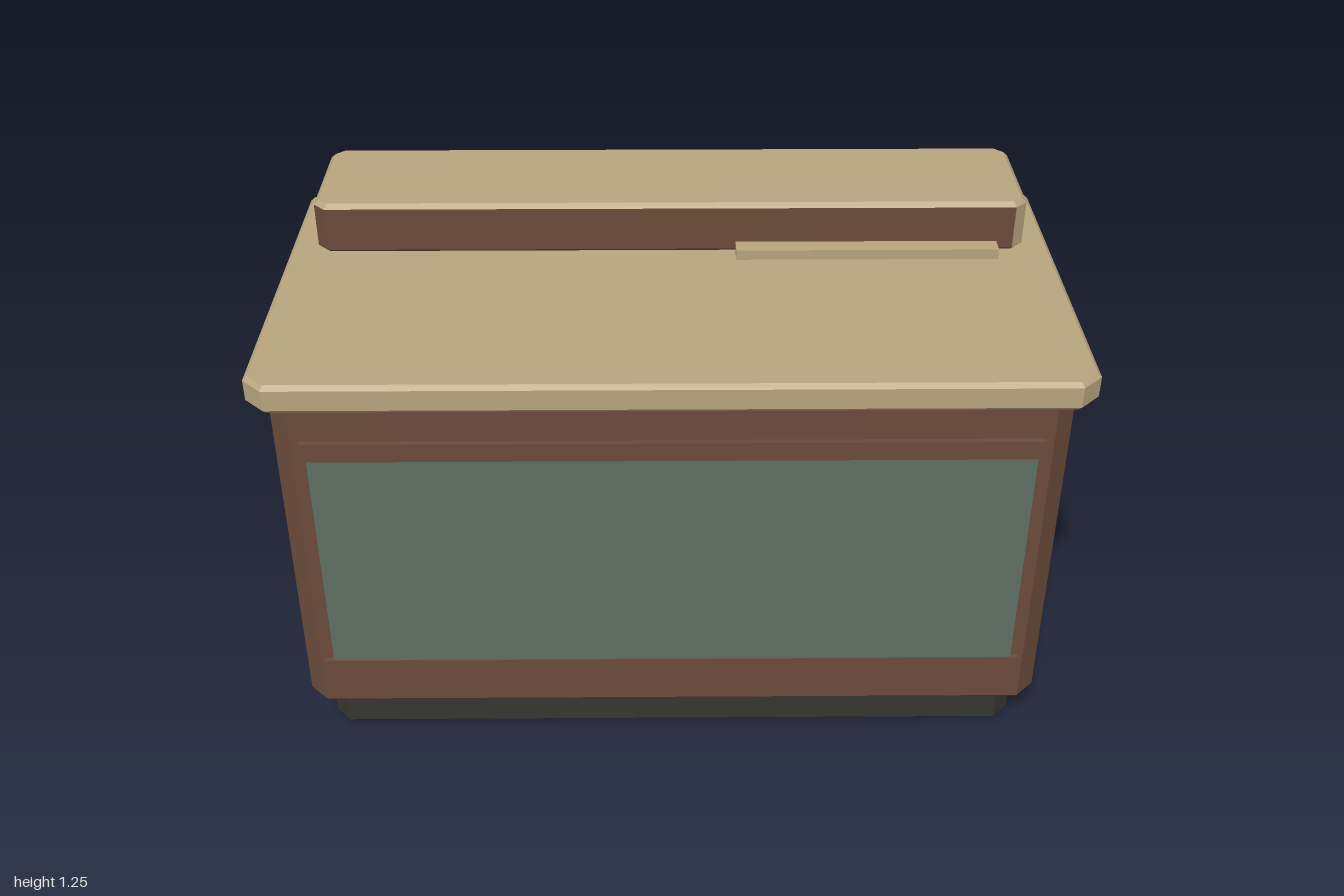
import * as THREE from 'three';

const mat = (name, color) => new THREE.MeshStandardMaterial({ name, color });

// Octagonal outline: a rectangle with cut corners, starting at the +x+z cut,
// going round from +x towards +z. Even edges are straight sides, odd edges are cuts.
function outline(hx, hz, c) {
  return [
    [hx, -hz + c], [hx, hz - c], [hx - c, hz], [-hx + c, hz],
    [-hx, hz - c], [-hx, -hz + c], [-hx + c, -hz], [hx - c, -hz],
  ];
}

// Slab with cut vertical corners and bevelled top / bottom edges.
// pick(part, edge) returns the material index for 'top', 'bottom', 'bevelTop', 'bevelBottom' or 'side'.
function chamferedSlab({ hx, hz, y0, y1, cut, bevelTop = 0, bevelBottom = 0, pick = () => 0 }) {
  const ring = (inset, y) => outline(hx - inset, hz - inset, cut - inset * 0.586)
    .map(([x, z]) => new THREE.Vector3(x, y, z));
  const rings = [], parts = [];
  if (bevelBottom) { rings.push(ring(bevelBottom, y0)); parts.push('bevelBottom'); }
  rings.push(ring(0, y0 + bevelBottom), ring(0, y1 - bevelTop));
  parts.push('side');
  if (bevelTop) { rings.push(ring(bevelTop, y1)); parts.push('bevelTop'); }

  const positions = [];
  const geometry = new THREE.BufferGeometry();
  const add = (index, ...points) => {
    geometry.addGroup(positions.length / 3, points.length, index);
    points.forEach((p) => positions.push(p.x, p.y, p.z));
  };
  parts.forEach((part, r) => {
    for (let i = 0; i < 8; i++) {
      const j = (i + 1) % 8;
      const a = rings[r][i], b = rings[r][j], c = rings[r + 1][j], d = rings[r + 1][i];
      add(pick(part, i), a, c, b, a, d, c);
    }
  });
  const low = rings[0], high = rings[rings.length - 1];
  for (let i = 1; i < 7; i++) {
    add(pick('bottom', 0), low[0], low[i], low[i + 1]);
    add(pick('top', 0), high[0], high[i + 1], high[i]);
  }
  geometry.setAttribute('position', new THREE.Float32BufferAttribute(positions, 3));
  geometry.computeVertexNormals();
  return geometry;
}

export function createModel() {
  const brown = mat('brown wood', 0x6b4b3b);
  const tan = mat('tan worktop', 0xb8a47e);
  const dark = mat('dark plinth', 0x35362f);
  const glass = mat('green glass', 0x5f6e62);
  const model = new THREE.Group();
  model.name = 'counter';

  const add = (name, geometry, material, x = 0, y = 0, z = 0) => {
    const mesh = new THREE.Mesh(geometry, material);
    mesh.name = name;
    mesh.position.set(x, y, z);
    model.add(mesh);
    return mesh;
  };
  const box = (name, material, x0, x1, y0, y1, z0, z1) => add(name,
    new THREE.BoxGeometry(x1 - x0, y1 - y0, z1 - z0), material,
    (x0 + x1) / 2, (y0 + y1) / 2, (z0 + z1) / 2);

  // Plinth, cabinet and worktop
  add('plinth', chamferedSlab({ hx: 0.907, hz: 0.446, y0: 0, y1: 0.112, cut: 0.041, bevelBottom: 0.012 }), [dark]);
  add('cabinet', chamferedSlab({ hx: 0.957, hz: 0.489, y0: 0.11, y1: 1.045, cut: 0.048, bevelBottom: 0.016 }), [brown]);
  add('worktop', chamferedSlab({
    hx: 1, hz: 0.528, y0: 1.04, y1: 1.115, cut: 0.05, bevelTop: 0.011, bevelBottom: 0.011,
  }), [tan]);

  // Rear riser: brown sides, tan lid, two opposite corner cuts in tan
  add('riser', chamferedSlab({
    hx: 0.927, hz: 0.178, y0: 1.114, y1: 1.25, cut: 0.031, bevelTop: 0.012, bevelBottom: 0.008,
    pick: (part, edge) => {
      if (part === 'top' || part === 'bevelTop') return 1;
      return part === 'side' && (edge === 1 || edge === 5) ? 1 : 0;
    },
  }), [brown, tan], 0, 0, -0.321);

  // Low ledge in front of the riser
  box('ledge', tan, 0.17, 0.853, 1.11, 1.142, -0.16, -0.093);

  // Front window: brown backing, glass plate and two rails
  box('windowFrame', brown, -0.874, 0.874, 0.25, 0.92, 0.48, 0.498);
  box('windowGlass', glass, -0.874, 0.874, 0.268, 0.892, 0.496, 0.4995);
  box('topRail', brown, -0.886, 0.886, 0.89, 0.94, 0.48, 0.504);
  box('bottomRail', brown, -0.897, 0.897, 0.24, 0.268, 0.48, 0.503);

  return model;
}
